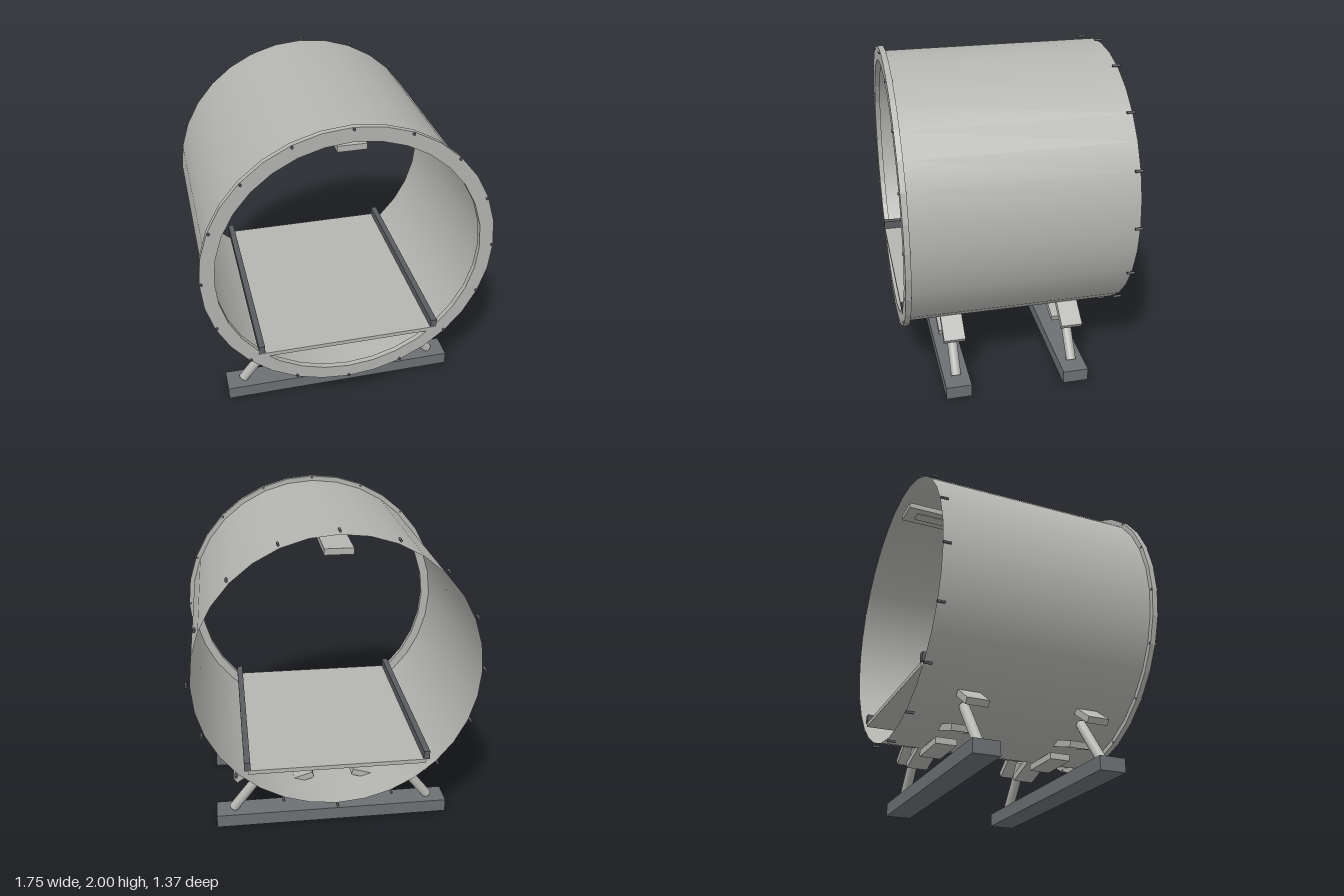
import * as THREE from 'three';

const lightSteel = new THREE.MeshStandardMaterial({ color: 0xb4b4b1, side: THREE.DoubleSide });
lightSteel.name = 'lightSteel';
const darkSteel = new THREE.MeshStandardMaterial({ color: 0x6c7073 });
darkSteel.name = 'darkSteel';
const railGrey = new THREE.MeshStandardMaterial({ color: 0x5a5d60 });
railGrey.name = 'railGrey';

const CY = 1.125; // height of the tunnel axis

export function createModel() {
  const model = new THREE.Group();
  model.name = 'tunnelSegment';

  const add = (name, geometry, material, x = 0, y = 0, z = 0) => {
    const mesh = new THREE.Mesh(geometry, material);
    mesh.name = name;
    mesh.position.set(x, y, z);
    model.add(mesh);
    return mesh;
  };
  const box = (name, w, h, d, material, x, y, z) =>
    add(name, new THREE.BoxGeometry(w, h, d), material, x, y, z);

  // Open shell
  const shell = new THREE.CylinderGeometry(0.845, 0.845, 1.325, 32, 1, true).rotateX(Math.PI / 2);
  add('tunnelShell', shell, lightSteel, 0, CY, -0.0175);

  // Front flange ring
  const ring = new THREE.Shape().absarc(0, 0, 0.875, 0, Math.PI * 2);
  ring.holes.push(new THREE.Path().absarc(0, 0, 0.79, 0, Math.PI * 2, true));
  const flange = new THREE.ExtrudeGeometry(ring, { depth: 0.034, bevelEnabled: false, curveSegments: 16 });
  add('frontFlange', flange, lightSteel, 0, CY, 0.642);

  // Bolt circles at both ends
  const bolt = new THREE.CylinderGeometry(0.008, 0.008, 0.048, 8).rotateX(Math.PI / 2);
  for (const z of [0.663, -0.663]) {
    for (let i = 0; i < 16; i++) {
      const a = (i * Math.PI) / 8;
      add(z > 0 ? 'frontBolt' : 'backBolt', bolt, railGrey,
        0.865 * Math.sin(a), CY + 0.865 * Math.cos(a), z);
    }
  }

  // Floor deck with edge rails
  box('floorDeck', 1.08, 0.026, 1.355, lightSteel, 0, 0.533, 0);
  for (const s of [-1, 1]) box('edgeRail', 0.037, 0.055, 1.358, railGrey, s * 0.543, 0.573, 0);

  // Ceiling beam with a lower strip
  box('ceilingBeam', 0.165, 0.036, 1.3, lightSteel, 0, 1.867, 0);
  box('ceilingStrip', 0.07, 0.008, 1.16, lightSteel, 0, 1.847, 0);

  // Two cradles: base beam, saddle pads and slanted struts
  for (const z of [0.373, -0.373]) {
    box('baseBeam', 1.49, 0.083, 0.16, darkSteel, 0, 0.0415, z);

    for (let i = -2; i <= 2; i++) {
      const a = i * THREE.MathUtils.degToRad(17.5);
      const pad = box('saddlePad', 0.285, 0.04, 0.133, lightSteel,
        0.87 * Math.sin(a), CY - 0.87 * Math.cos(a), z);
      pad.rotation.z = -a;
    }

    for (const s of [-1, 1]) {
      const foot = new THREE.Vector3(s * 0.637, 0.088, z);
      const head = new THREE.Vector3(s * 0.415, 0.375, z);
      const dir = head.clone().sub(foot);
      const strut = add('strut', new THREE.CylinderGeometry(0.031, 0.031, dir.length(), 16), lightSteel);
      strut.position.copy(foot).add(head).multiplyScalar(0.5);
      strut.quaternion.setFromUnitVectors(new THREE.Vector3(0, 1, 0), dir.normalize());
    }
  }

  return model;
}
